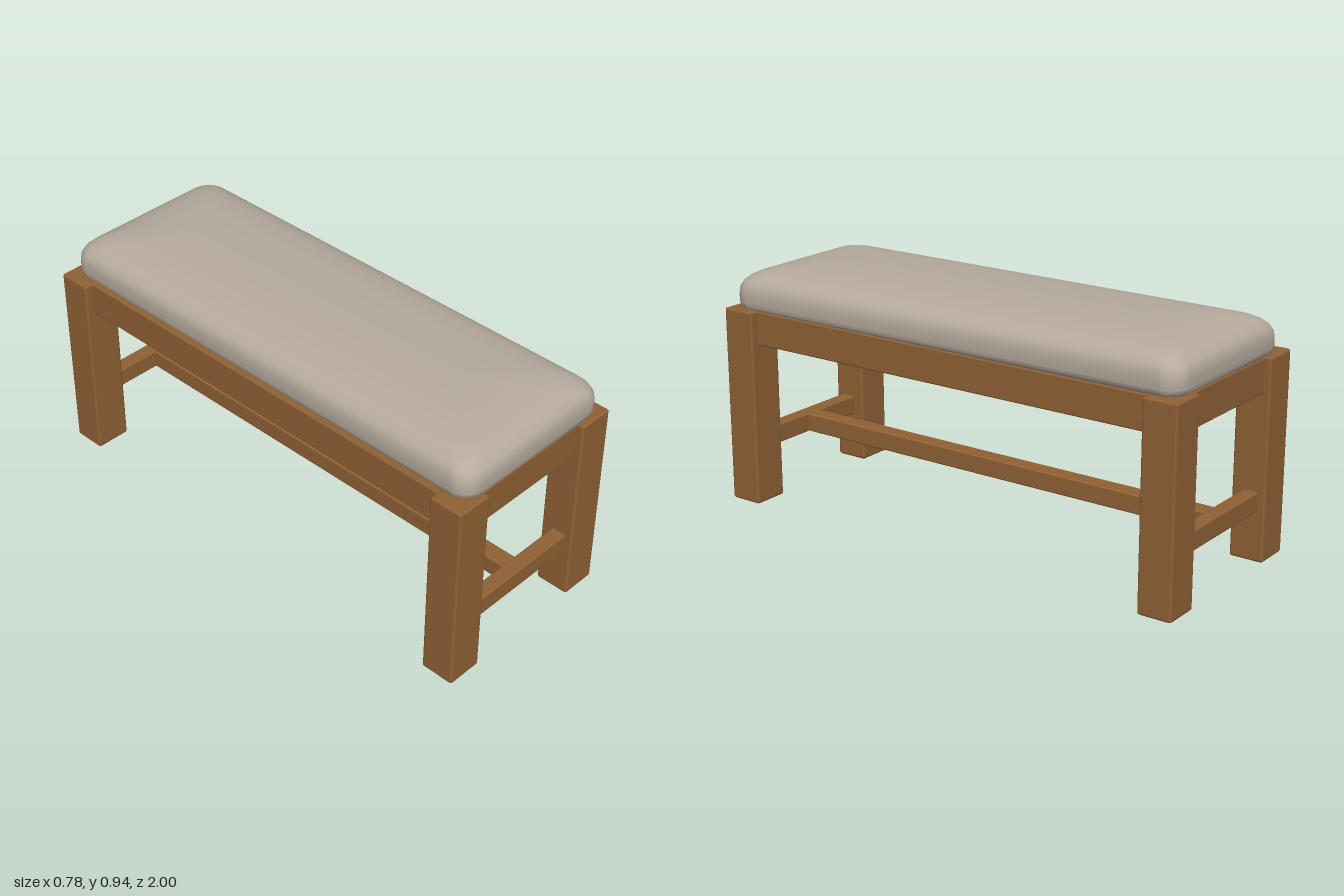
import * as THREE from 'three';
import { RoundedBoxGeometry } from 'three/addons/geometries/RoundedBoxGeometry.js';

// Closed cushion skin made of stacked rounded-rectangle rings: [inset, y]
function cushionGeometry(halfX, halfZ, radius, profile, cornerSteps = 8) {
  const positions = [], index = [];
  const count = 4 * (cornerSteps + 1);
  const signs = [[1, 1], [-1, 1], [-1, -1], [1, -1]];
  for (const [inset, y] of profile) {
    const hx = halfX - inset, hz = halfZ - inset;
    const r = Math.min(radius, hx * 0.9);
    signs.forEach(([sx, sz], q) => {
      for (let i = 0; i <= cornerSteps; i++) {
        const a = (q + i / cornerSteps) * Math.PI / 2;
        positions.push(sx * (hx - r) + r * Math.cos(a), y, sz * (hz - r) + r * Math.sin(a));
      }
    });
  }
  for (let k = 0; k < profile.length - 1; k++) {
    for (let i = 0; i < count; i++) {
      const j = (i + 1) % count;
      const a = k * count + i, b = k * count + j, c = a + count, d = b + count;
      index.push(a, c, b, b, c, d);
    }
  }
  // bottom and top caps
  const bottom = positions.length / 3, top = bottom + 1;
  const last = (profile.length - 1) * count;
  positions.push(0, profile[0][1], 0, 0, profile[profile.length - 1][1], 0);
  for (let i = 0; i < count; i++) {
    const j = (i + 1) % count;
    index.push(bottom, i, j, top, last + j, last + i);
  }
  const geometry = new THREE.BufferGeometry();
  geometry.setAttribute('position', new THREE.Float32BufferAttribute(positions, 3));
  geometry.setIndex(index);
  geometry.computeVertexNormals();
  return geometry;
}

export function createModel() {
  const wood = new THREE.MeshStandardMaterial({ color: 0x8f6135 });
  wood.name = 'wood';
  const fabric = new THREE.MeshStandardMaterial({ color: 0xb5aa9c });
  fabric.name = 'cushionFabric';
  const dark = new THREE.MeshStandardMaterial({ color: 0x2a211b });
  dark.name = 'darkLining';

  const bench = new THREE.Group();
  bench.name = 'bench';

  // Softly rounded block given by its two extents on each axis
  function block(name, material, [x0, x1], [y0, y1], [z0, z1], radius = 0.006) {
    const size = [x1 - x0, y1 - y0, z1 - z0];
    const geometry = radius
      ? new RoundedBoxGeometry(...size, 2, radius)
      : new THREE.BoxGeometry(...size);
    const mesh = new THREE.Mesh(geometry, material);
    mesh.name = name;
    mesh.position.set((x0 + x1) / 2, (y0 + y1) / 2, (z0 + z1) / 2);
    bench.add(mesh);
  }
  const mirror = (side, a, b) => (side > 0 ? [a, b] : [-b, -a]);

  // Legs with dark foot pads
  for (const sx of [1, -1]) {
    for (const sz of [1, -1]) {
      block('leg', wood, mirror(sx, 0.245, 0.39), [0.006, 0.78], mirror(sz, 0.865, 1), 0.01);
      block('footPad', dark, mirror(sx, 0.27, 0.365), [0, 0.01], mirror(sz, 0.89, 0.975), 0);
    }
  }

  // Seat frame: long side rails and short end rails
  for (const s of [1, -1]) {
    block('sideRail', wood, mirror(s, 0.285, 0.355), [0.645, 0.777], [-0.9, 0.9]);
    block('endRail', wood, [-0.27, 0.27], [0.645, 0.777], mirror(s, 0.91, 0.975));
    block('endStretcher', wood, [-0.26, 0.26], [0.2, 0.275], mirror(s, 0.912, 0.972));
  }

  // Long stretcher joining the two end stretchers
  block('longStretcher', wood, [-0.035, 0.035], [0.201, 0.274], [-0.93, 0.93]);

  // Dark lining under the seat
  block('seatLining', dark, [-0.3, 0.3], [0.755, 0.775], [-0.92, 0.92], 0);

  // Padded cushion
  const profile = [
    [0.03, 0.776], [0.012, 0.779], [0.003, 0.788], [0, 0.805], [0, 0.835], [0.003, 0.86],
    [0.013, 0.88], [0.03, 0.897], [0.055, 0.911], [0.09, 0.922], [0.14, 0.931],
    [0.2, 0.937], [0.27, 0.94], [0.33, 0.941],
  ];
  const cushion = new THREE.Mesh(cushionGeometry(0.355, 0.985, 0.075, profile), fabric);
  cushion.name = 'cushion';
  cushion.position.x = 0.01;
  bench.add(cushion);

  return bench;
}
